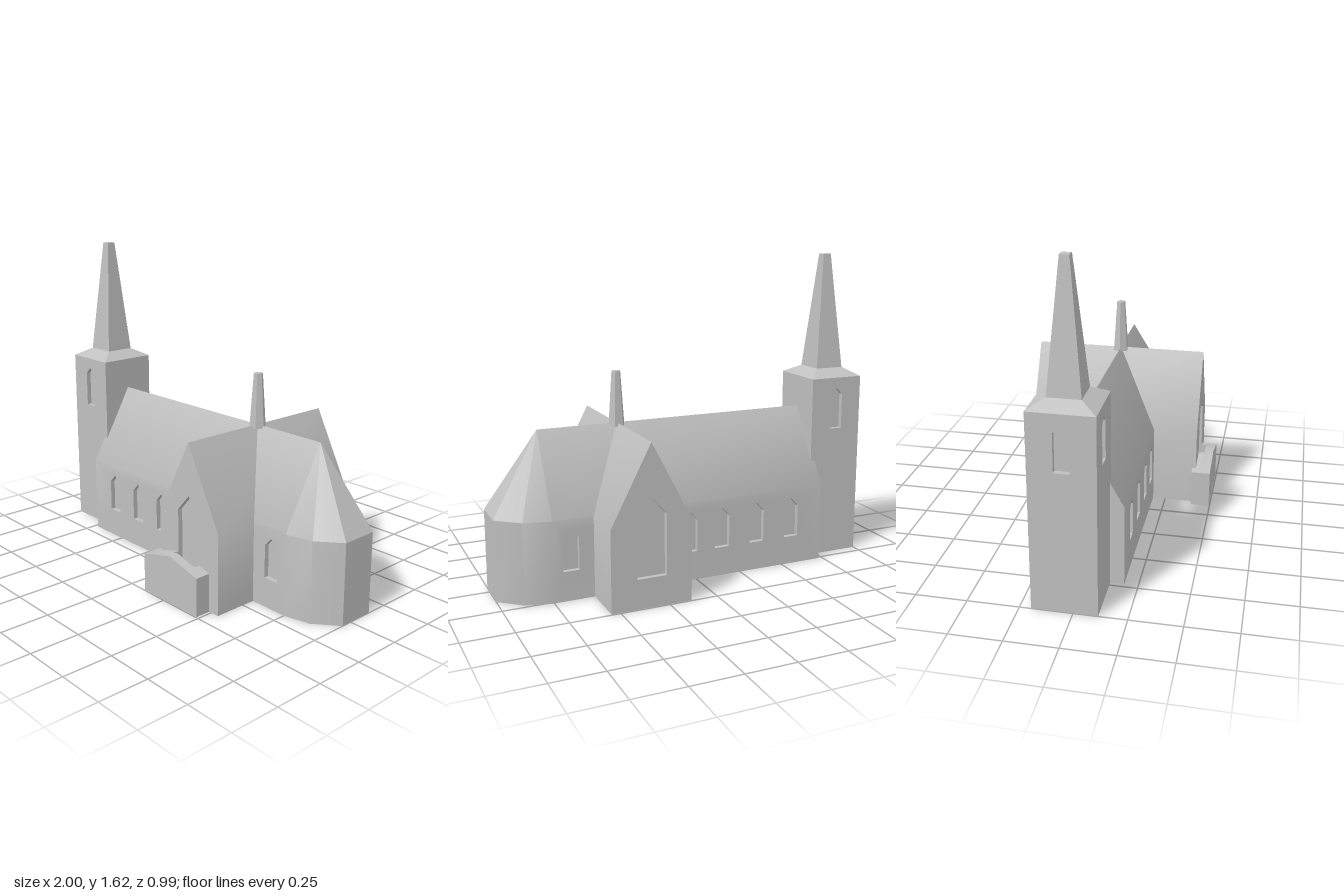
import * as THREE from 'three';
import { toCreasedNormals } from 'three/addons/utils/BufferGeometryUtils.js';

const stone = new THREE.MeshStandardMaterial({ color: 0xc0c0c0 });
stone.name = 'grey stone';

const EAVE = 0.41, RIDGE = 0.805, AXIS_Z = -0.04, RECESS = 0.025;

// Collects flat polygons (counter-clockwise from outside) into one surface
class Surface {
  constructor() { this.pos = []; }

  poly(points, flip = false) {
    const p = flip ? [...points].reverse() : points;
    for (let i = 1; i < p.length - 1; i++) this.pos.push(...p[0], ...p[i], ...p[i + 1]);
  }

  // Upright wall facing +z, turned about y, with recessed windows
  wall(outline, windows, offset, turn) {
    const place = (u, v, w) =>
      new THREE.Vector3(u, v, w + offset).applyAxisAngle(new THREE.Vector3(0, 1, 0), turn).toArray();
    const toShape = (pts) => new THREE.Shape(pts.map(([x, y]) => new THREE.Vector2(x, y)));
    const shape = toShape(outline);
    shape.holes = windows.map(toShape);
    const flat = new THREE.ShapeGeometry(shape).toNonIndexed().attributes.position;
    for (let i = 0; i < flat.count; i++) this.pos.push(...place(flat.getX(i), flat.getY(i), 0));
    for (const win of windows) {
      this.poly(win.map(([x, y]) => place(x, y, -RECESS)));
      win.forEach((a, i) => {
        const b = win[(i + 1) % win.length];
        this.poly([place(...a, 0), place(...b, 0), place(...b, -RECESS), place(...a, -RECESS)]);
      });
    }
  }

  // Four-sided taper through a list of [halfX, halfZ, y], closed on top
  taper(levels) {
    const rings = levels.map(([x, z, y]) => [[-x, y, z], [x, y, z], [x, y, -z], [-x, y, -z]]);
    for (let k = 0; k < rings.length - 1; k++) {
      for (let i = 0; i < 4; i++) {
        const j = (i + 1) % 4;
        this.poly([rings[k][i], rings[k][j], rings[k + 1][j], rings[k + 1][i]]);
      }
    }
    this.poly(rings[rings.length - 1]);
  }

  mesh(name) {
    const g = new THREE.BufferGeometry();
    g.setAttribute('position', new THREE.Float32BufferAttribute(this.pos, 3));
    return makeMesh(name, g);
  }
}

function makeMesh(name, geometry) {
  const m = new THREE.Mesh(toCreasedNormals(geometry, Math.PI / 6), stone);
  m.name = name;
  return m;
}

// Pointed window outline
const pointed = (x, half, bottom, shoulder, top) =>
  [[x - half, bottom], [x + half, bottom], [x + half, shoulder], [x, top], [x - half, shoulder]];

function createNave() {
  const s = new Surface();
  const x0 = -0.73, x1 = 0.75, h = 0.223;
  const plan = [[x1, h], [0.885, 0.19], [1, 0.095]];
  const apex = [x1, RIDGE, 0];
  for (const side of [1, -1]) {
    const flip = side < 0;
    // Long wall; u runs backwards on the far side
    const [a, b] = flip ? [-x1, -x0] : [x0, x1];
    const windows = [-0.55, -0.345, -0.145, 0.035, 0.66].map((x) => pointed(x * side, 0.04, 0.15, 0.315, 0.36));
    s.wall([[a, 0], [b, 0], [b, EAVE], [a, EAVE]], windows, h, flip ? Math.PI : 0);
    // Roof slope
    s.poly([[x0, EAVE, side * h], [x1, EAVE, side * h], apex, [x0, RIDGE, 0]], flip);
    // Apse walls and roof facets
    for (let i = 0; i < 2; i++) {
      const [px, pz] = plan[i], [qx, qz] = plan[i + 1];
      const p = [px, EAVE, side * pz], q = [qx, EAVE, side * qz];
      s.poly([[px, 0, side * pz], [qx, 0, side * qz], q, p], flip);
      s.poly([p, q, apex], flip);
    }
  }
  // Apse end, west gable and floor
  const e = plan[2][1];
  s.poly([[1, 0, e], [1, 0, -e], [1, EAVE, -e], [1, EAVE, e]]);
  s.poly([[1, EAVE, e], [1, EAVE, -e], apex]);
  s.poly([[x0, 0, -h], [x0, 0, h], [x0, EAVE, h], [x0, RIDGE, 0], [x0, EAVE, -h]]);
  const near = [[x0, h], ...plan];
  const far = near.map(([x, z]) => [x, -z]).reverse();
  s.poly([...near, ...far].map(([x, z]) => [x, 0, z]), true);
  return s.mesh('naveAndApse');
}

function createTransept() {
  const s = new Surface();
  const h = 0.205, d = 0.455;
  const gable = [[-h, 0], [h, 0], [h, EAVE], [0, RIDGE], [-h, EAVE]];
  const big = pointed(0, 0.075, 0.15, 0.455, 0.54);
  for (const turn of [0, Math.PI]) s.wall(gable, [big], d, turn);
  for (const side of [1, -1]) {
    const x = side * h, flip = side < 0;
    s.poly([[x, 0, d], [x, 0, -d], [x, EAVE, -d], [x, EAVE, d]], flip);
    s.poly([[x, EAVE, d], [x, EAVE, -d], [0, RIDGE, -d], [0, RIDGE, d]], flip);
  }
  s.poly([[-h, 0, -d], [h, 0, -d], [h, 0, d], [-h, 0, d]]);
  const m = s.mesh('transept');
  m.position.x = 0.34;
  return m;
}

function createTower() {
  const tower = new THREE.Group();
  tower.name = 'tower';
  const hx = 0.1475, hz = 0.155, top = 0.97;
  const rect = (w) => [[-w, 0], [w, 0], [w, top], [-w, top]];
  const win = [pointed(0, 0.036, 0.695, 0.88, 0.915)];
  // Windows on three sides, none towards the nave
  const shaft = new Surface();
  shaft.wall(rect(hx), win, hz, 0);
  shaft.wall(rect(hx), win, hz, Math.PI);
  shaft.wall(rect(hz), win, hx, -Math.PI / 2);
  shaft.wall(rect(hz), [], hx, Math.PI / 2);
  shaft.poly([[-hx, 0, -hz], [hx, 0, -hz], [hx, 0, hz], [-hx, 0, hz]]);
  tower.add(shaft.mesh('towerShaft'));

  const spire = new Surface();
  spire.taper([[hx, hz, top], [0.078, 0.078, 1.012], [0.022, 0.022, 1.615]]);
  tower.add(spire.mesh('spire'));
  tower.position.x = -0.8525;
  return tower;
}

// Six-sided turret over the crossing
function createTurret() {
  const g = new THREE.CylinderGeometry(0.023, 0.042, 0.275, 6).toNonIndexed();
  g.rotateY(Math.PI / 6);
  const m = makeMesh('crossingTurret', g);
  m.position.set(0.34, 0.9275, 0);
  return m;
}

// Low porch, notched at the back where the gable window comes down
function createPorch() {
  const porch = new THREE.Group();
  porch.name = 'porch';
  const base = [[0.1, 0], [0.485, 0], [0.485, 0.195]];
  const slabs = [
    ['porchFront', [...base, [0.29, 0.245], [0.1, 0.195]], 0.445],
    ['porchBack', [...base, [0.415, 0.213], [0.415, 0.15], [0.265, 0.15], [0.265, 0.238], [0.1, 0.195]], 0.395],
  ];
  for (const [name, pts, z] of slabs) {
    const shape = new THREE.Shape(pts.map(([x, y]) => new THREE.Vector2(x, y)));
    const m = makeMesh(name, new THREE.ExtrudeGeometry(shape, { depth: 0.05, bevelEnabled: false }));
    m.position.z = z;
    porch.add(m);
  }
  return porch;
}

export function createModel() {
  const model = new THREE.Group();
  model.name = 'church';
  const body = new THREE.Group();
  body.name = 'churchBody';
  body.add(createNave(), createTransept(), createTower(), createTurret());
  body.position.z = AXIS_Z;
  model.add(body, createPorch());
  return model;
}
